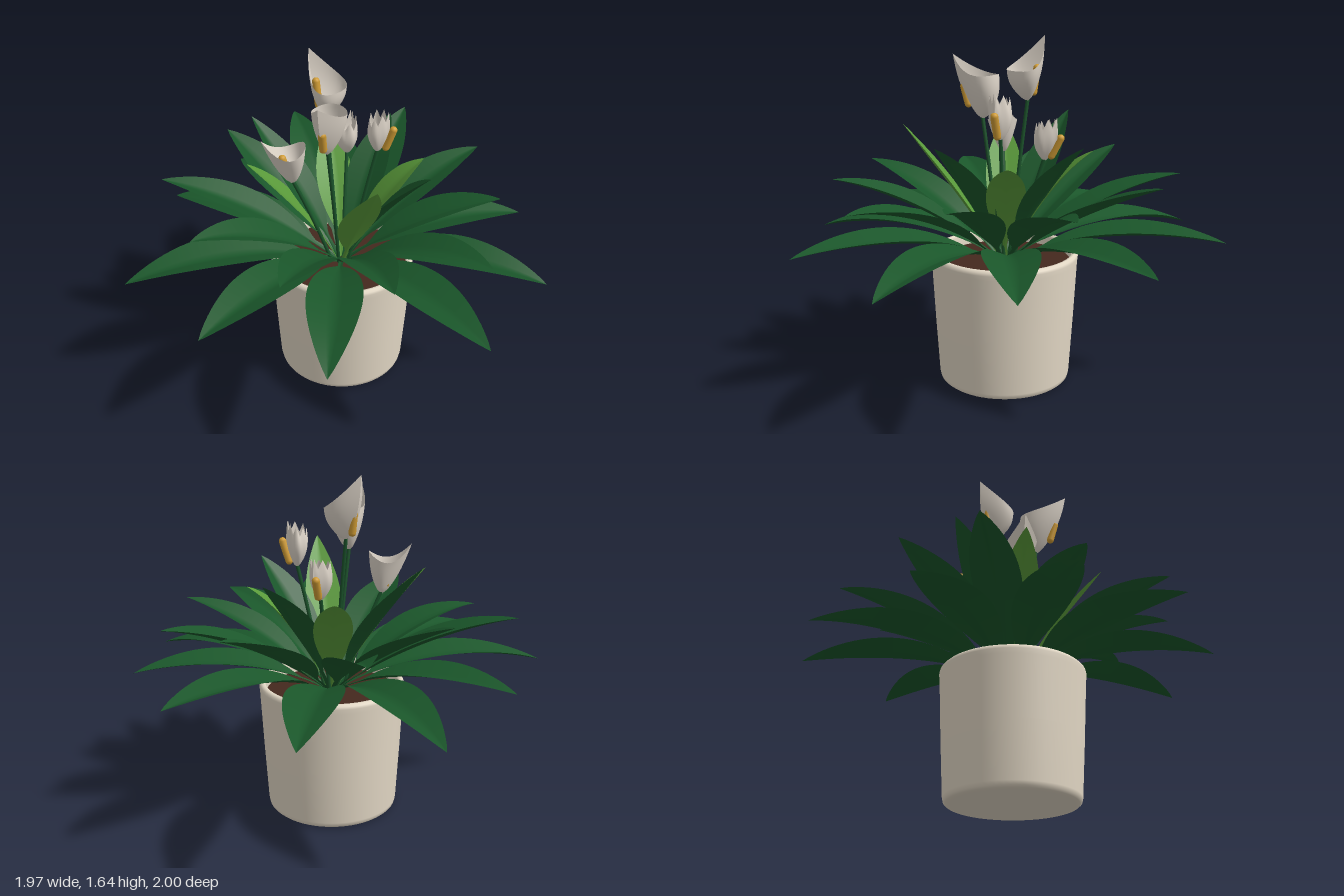
import * as THREE from 'three';

const V = (x, y, z) => new THREE.Vector3(x, y, z);
const CX = 0.064; // centre of the pot on x

// Grid surface from a rule f(u, v) -> Vector3
function surface(nu, nv, f) {
  const pos = [], idx = [];
  for (let i = 0; i <= nu; i++) {
    for (let j = 0; j <= nv; j++) {
      pos.push(...f(i / nu, j / nv).toArray());
      if (i < nu && j < nv) {
        const a = i * (nv + 1) + j, b = a + nv + 1;
        idx.push(a, a + 1, b, a + 1, b + 1, b);
      }
    }
  }
  const g = new THREE.BufferGeometry();
  g.setAttribute('position', new THREE.Float32BufferAttribute(pos, 3));
  g.setIndex(idx);
  g.computeVertexNormals();
  return g;
}

// Stalk and blade in one: arched midrib, pointed outline, V fold along the rib
function leafGeometry([tx, tz, ty], { half, y1, y2, fold }) {
  const dir = V(tx - CX, 0, tz), R = dir.length();
  dir.normalize();
  const at = (r, y) => V(CX + dir.x * r, y, dir.z * r);
  const rib = new THREE.CubicBezierCurve3(at(0.02, 0.58), at(0.25 * R, y1), at(0.65 * R, y2), at(R, ty));
  const side = V(dir.z, 0, -dir.x);
  return surface(28, 4, (u, v) => {
    const p = rib.getPoint(u);
    const up = rib.getTangent(u).cross(side).normalize();
    if (up.y < 0) up.negate();
    const b = Math.max(0, (u - 0.18) / 0.82);
    const blade = half * Math.pow(Math.max(0, Math.sin(Math.PI * Math.pow(b, 0.95))), 0.88);
    const w = Math.max(blade, 0.013 * (1 - u));
    const s = (v * 2 - 1) * Math.abs(v * 2 - 1);
    return p.addScaledVector(side, s * w).addScaledVector(up, Math.abs(s) * w * fold);
  });
}

// Wrapped funnel: oblique teardrop rim, dipping at its sides, narrowing to the stem
function spatheGeometry({ base, tip, lip, width, bulge, dip, ragged }) {
  const b = V(...base), t = V(...tip), l = V(...lip);
  const mid = t.clone().add(l).multiplyScalar(0.5);
  const major = t.clone().sub(l).multiplyScalar(0.5);
  const minor = V(major.z, 0, -major.x).normalize().multiplyScalar(width * 1.25);
  return surface(12, 32, (u, v) => {
    const a = v * Math.PI * 2;
    const off = major.clone().multiplyScalar(Math.cos(a))
      .addScaledVector(minor, Math.sin(a) * Math.sin(a / 2));
    const open = Math.pow(u, 0.62) + bulge * Math.sin(Math.PI * u);
    const p = b.clone().lerp(mid, u).addScaledVector(off, open);
    p.y += off.y * (u - open) - dip * u * u * Math.sin(a) ** 2;
    if (ragged) p.y += u * u * 0.022 * (1 - Math.abs((Math.round(v * 32) % 4) - 2));
    return p;
  });
}

export function createModel() {
  const model = new THREE.Group();
  const material = (name, color, side = THREE.FrontSide) => {
    const m = new THREE.MeshStandardMaterial({ color, side });
    m.name = name;
    return m;
  };
  const clay = material('pot beige', 0xe4d9c6);
  const earth = material('soil brown', 0x44281e);
  const darkGreen = material('leaf green', 0x1a562a, THREE.DoubleSide);
  const lightGreen = material('young leaf green', 0x5a9a3a, THREE.DoubleSide);
  const stemGreen = material('stem green', 0x1a522a);
  const cream = material('flower cream', 0xdfd6ca, THREE.DoubleSide);
  const yellow = material('spadix yellow', 0xd09c35);
  const add = (name, geometry, mat, parent = model) => {
    const m = new THREE.Mesh(geometry, mat);
    m.name = name;
    parent.add(m);
    return m;
  };

  // Pot with rounded base edge and bevelled rim
  const profile = [[0, 0], [0.285, 0], [0.303, 0.003], [0.313, 0.012], [0.317, 0.03], [0.333, 0.3],
    [0.348, 0.595], [0.351, 0.618], [0.348, 0.631], [0.338, 0.64], [0.325, 0.638], [0.318, 0.628], [0.314, 0.55]];
  add('pot', new THREE.LatheGeometry(profile.map(p => new THREE.Vector2(...p)), 64), clay).position.x = CX;
  const soil = add('soil', new THREE.CylinderGeometry(0.317, 0.31, 0.03, 48), earth);
  soil.position.set(CX, 0.57, 0);

  // Leaf tiers; each tip is [x, z, y]
  const tiers = [
    { name: 'outerLeaf', half: 0.126, y1: 0.73, y2: 0.775, fold: 0.36, mat: darkGreen, tips: [
      [-0.1, -1, 0.67], [0.485, -0.94, 0.725], [0.925, -0.42, 0.74], [0.985, 0.17, 0.71], [0.78, 0.695, 0.685],
      [0.27, 1, 0.725], [-0.395, 0.83, 0.685], [-0.81, 0.445, 0.735], [-0.985, -0.13, 0.677], [-0.57, -0.68, 0.735]] },
    { name: 'middleLeaf', half: 0.112, y1: 0.755, y2: 0.935, fold: 0.36, mat: darkGreen, tips: [
      [0.17, -0.84, 0.99], [0.685, -0.53, 1.05], [0.875, -0.095, 0.985], [0.69, 0.39, 1.0], [0.41, 0.765, 0.94],
      [-0.08, 0.79, 0.99], [-0.485, 0.57, 1.0], [-0.7, 0.04, 0.945], [-0.69, -0.435, 1.0], [-0.27, -0.67, 1.06]] },
    { name: 'innerLeaf', half: 0.098, y1: 0.81, y2: 1.03, fold: 0.36, mat: darkGreen, tips: [
      [-0.23, -0.4, 1.255], [0.45, -0.26, 1.19], [0.315, 0.37, 1.19]] },
    { name: 'youngLeaf', half: 0.09, y1: 0.79, y2: 1.02, fold: 0.22, mat: lightGreen, tips: [
      [0.17, -0.4, 1.12], [0.45, 0.08, 1.11], [0, 0.465, 1.255], [-0.37, -0.1, 1.185]] },
  ];
  for (const tier of tiers) {
    tier.tips.forEach((tip, i) => add(tier.name + (i + 1), leafGeometry(tip, tier), tier.mat));
  }

  // Flowers: stem, funnel and spadix (from, to)
  const flowers = [
    { base: [-0.17, 1.06, -0.05], tip: [-0.305, 1.3, -0.08], lip: [-0.11, 1.265, -0.03], width: 0.075, bulge: 0.05,
      dip: 0.06, spadix: [[-0.185, 1.1, -0.055], [-0.21, 1.2, -0.072]] },
    { base: [-0.05, 1.25, 0.08], tip: [-0.15, 1.55, 0.2], lip: [0.012, 1.465, 0.025], width: 0.08, bulge: 0.15,
      dip: 0.035, spadix: [[-0.095, 1.31, 0.135], [-0.112, 1.41, 0.158]] },
    { base: [0.03, 1.34, -0.12], tip: [-0.01, 1.64, -0.21], lip: [0.065, 1.485, -0.035], width: 0.095, bulge: 0.16,
      dip: 0.04, spadix: [[0.012, 1.37, -0.15], [0.006, 1.5, -0.17]] },
    { base: [0.215, 1.19, 0.055], tip: [0.25, 1.385, 0.09], lip: [0.175, 1.36, 0.04], width: 0.05, bulge: 0.4,
      dip: 0, ragged: true, spadix: [[0.243, 1.21, 0.075], [0.273, 1.32, 0.098]] },
    { base: [0.165, 1.08, -0.165], tip: [0.21, 1.265, -0.21], lip: [0.14, 1.24, -0.14], width: 0.05, bulge: 0.4,
      dip: 0, ragged: true, spadix: [[0.18, 1.1, -0.188], [0.206, 1.2, -0.232]] },
  ];
  flowers.forEach((f, i) => {
    const flower = new THREE.Group();
    flower.name = 'flower' + (i + 1);
    const end = V(...f.base), start = V(CX + (end.x - CX) * 0.2, 0.57, end.z * 0.2);
    const bend = start.clone().lerp(end, 0.5).add(V((CX - end.x) * 0.08, 0, -end.z * 0.08));
    end.y += 0.02;
    const path = new THREE.QuadraticBezierCurve3(start, bend, end);
    add('stem', new THREE.TubeGeometry(path, 12, 0.009, 8), stemGreen, flower);
    add('spathe', spatheGeometry(f), cream, flower);
    const a = V(...f.spadix[0]), b = V(...f.spadix[1]), axis = b.clone().sub(a);
    const spadix = add('spadix', new THREE.CapsuleGeometry(0.018, axis.length() - 0.02, 5, 12), yellow, flower);
    spadix.position.copy(a).lerp(b, 0.5);
    spadix.quaternion.setFromUnitVectors(V(0, 1, 0), axis.normalize());
    model.add(flower);
  });
  return model;
}
